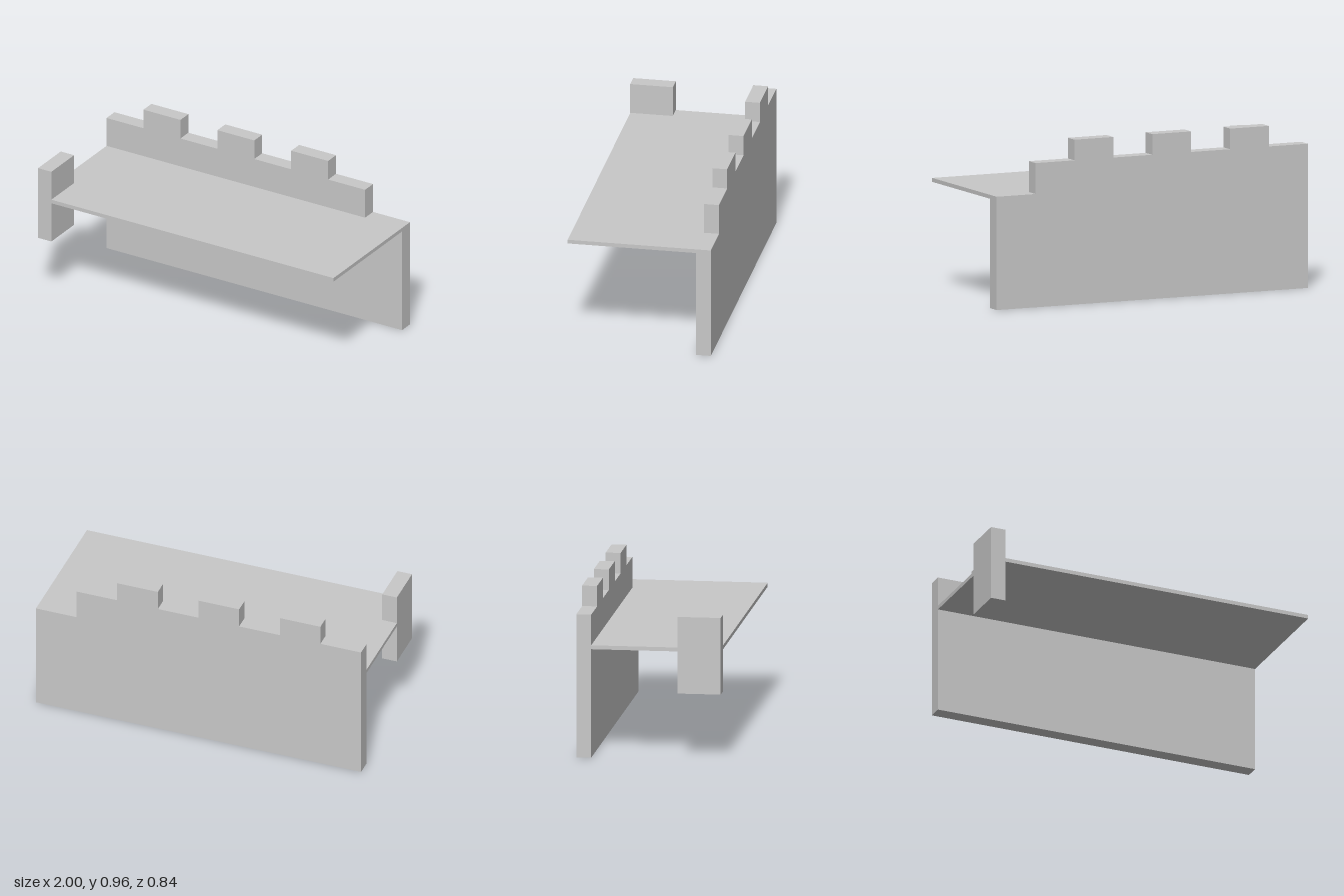
import * as THREE from 'three';

export function createModel() {
  const model = new THREE.Group();
  const stone = new THREE.MeshStandardMaterial({ color: 0xc8c8c8 });
  stone.name = 'pale grey stone';

  const add = (name, geometry, x, y, z) => {
    const mesh = new THREE.Mesh(geometry, stone);
    mesh.name = name;
    mesh.position.set(x, y, z);
    model.add(mesh);
  };

  // Back wall: one outline with three merlons and a low step at its left end
  const deckTop = 0.66, parapetTop = 0.84, merlonTop = 0.96;
  const outline = new THREE.Shape();
  outline.moveTo(-1, 0);
  outline.lineTo(1, 0);
  outline.lineTo(1, deckTop);
  outline.lineTo(0.75, deckTop);
  outline.lineTo(0.75, parapetTop);
  for (const right of [0.5, 0, -0.5]) {
    outline.lineTo(right, parapetTop);
    outline.lineTo(right, merlonTop);
    outline.lineTo(right - 0.25, merlonTop);
    outline.lineTo(right - 0.25, parapetTop);
  }
  outline.lineTo(-1, parapetTop);
  outline.closePath();
  add('battlementWall', new THREE.ExtrudeGeometry(outline, { depth: 0.087, bevelEnabled: false }), 0, 0, -0.42);

  // Thin walkway projecting from the wall
  add('walkway', new THREE.BoxGeometry(2, 0.023, 0.753), 0, deckTop - 0.0115, 0.0435);

  // Short end wall at the front right corner, passing above and below the walkway
  add('cornerWall', new THREE.BoxGeometry(0.09, 0.45, 0.25), -0.955, 0.615, 0.295);

  return model;
}
